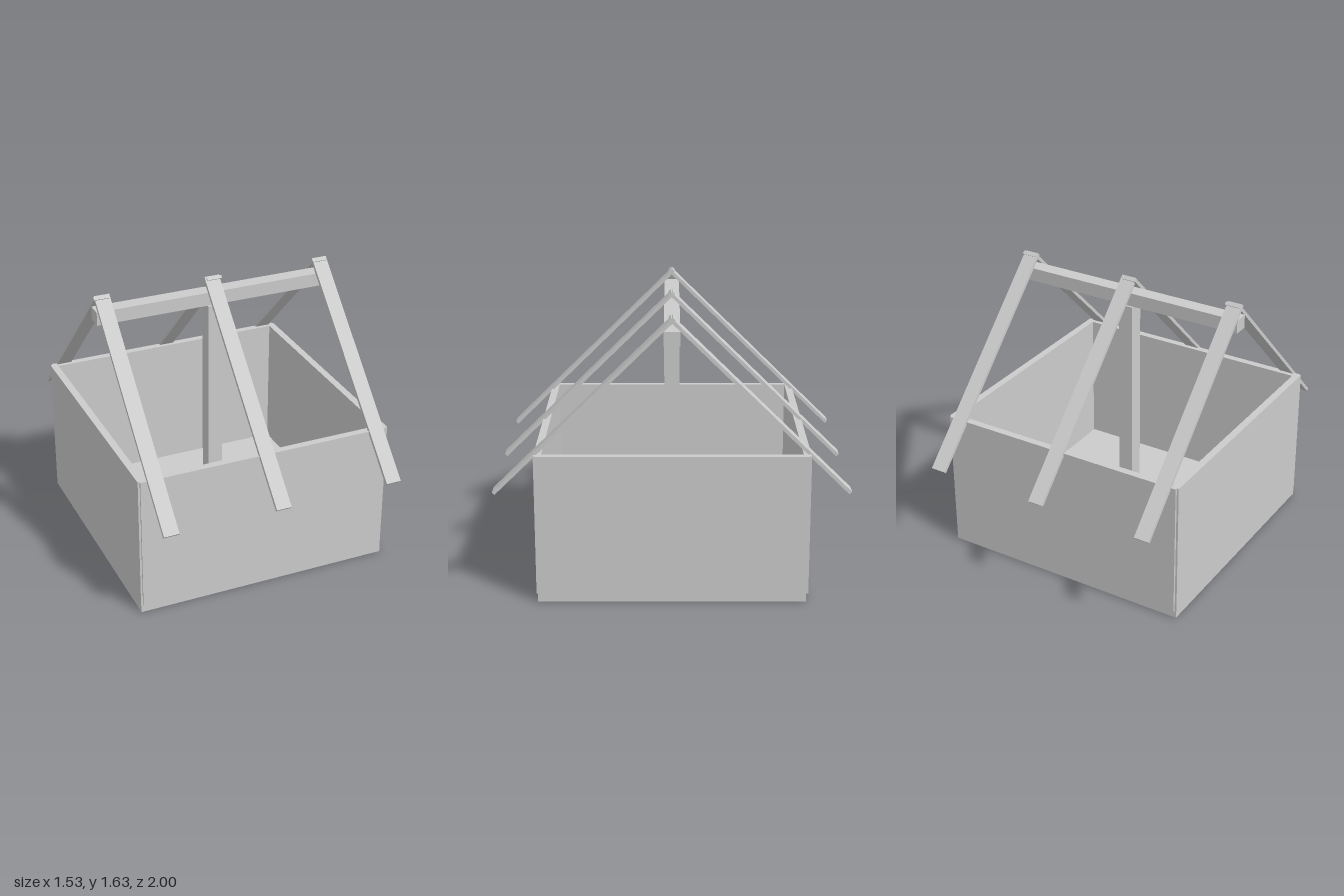
import * as THREE from 'three';

export function createModel() {
  const model = new THREE.Group();
  const material = new THREE.MeshStandardMaterial({ color: 0xcccccc, flatShading: true });

  function box(name, w, h, d, x, y, z) {
    const mesh = new THREE.Mesh(new THREE.BoxGeometry(w, h, d), material);
    mesh.name = name;
    mesh.position.set(x, y, z);
    model.add(mesh);
    return mesh;
  }

  // Floor slab
  const floorTop = 0.045;
  box('floor', 1.53, floorTop, 1.512, 0, floorTop / 2, 0);

  // Four walls standing on the slab
  const wallTop = 0.858, thick = 0.043;
  const wallH = wallTop - floorTop, wallY = (wallTop + floorTop) / 2;
  box('frontWall', 1.51, wallH, thick, 0, wallY, 0.743);
  box('backWall', 1.51, wallH, thick, 0, wallY, -0.747);
  box('leftWall', thick, wallH, 1.51, 0.743, wallY, 0);
  box('rightWall', thick, wallH, 1.51, -0.745, wallY, 0);

  // Central post and the ridge beam above it
  const postTop = 1.463;
  box('post', 0.09, postTop - floorTop, 0.09, 0, (postTop + floorTop) / 2, 0);
  box('ridgeBeam', 1.44, 0.08, 0.09, 0, 1.51, 0);

  // Rafter pairs: thin planks crossing slightly at the ridge
  const top = { z: -0.012, y: 1.622 }, foot = { z: 0.992, y: 0.633 };
  const run = foot.z - top.z, drop = top.y - foot.y;
  function rafter(name, x, side) {
    const plank = box(name, 0.09, 0.02, Math.hypot(run, drop),
      x, (top.y + foot.y) / 2, side * (top.z + foot.z) / 2);
    plank.rotation.x = side * Math.atan2(drop, run);
  }
  [-0.67, -0.003, 0.685].forEach((x) => rafter('frontRafter', x, 1));
  [-0.678, 0.007, 0.68].forEach((x) => rafter('backRafter', x, -1));

  return model;
}
